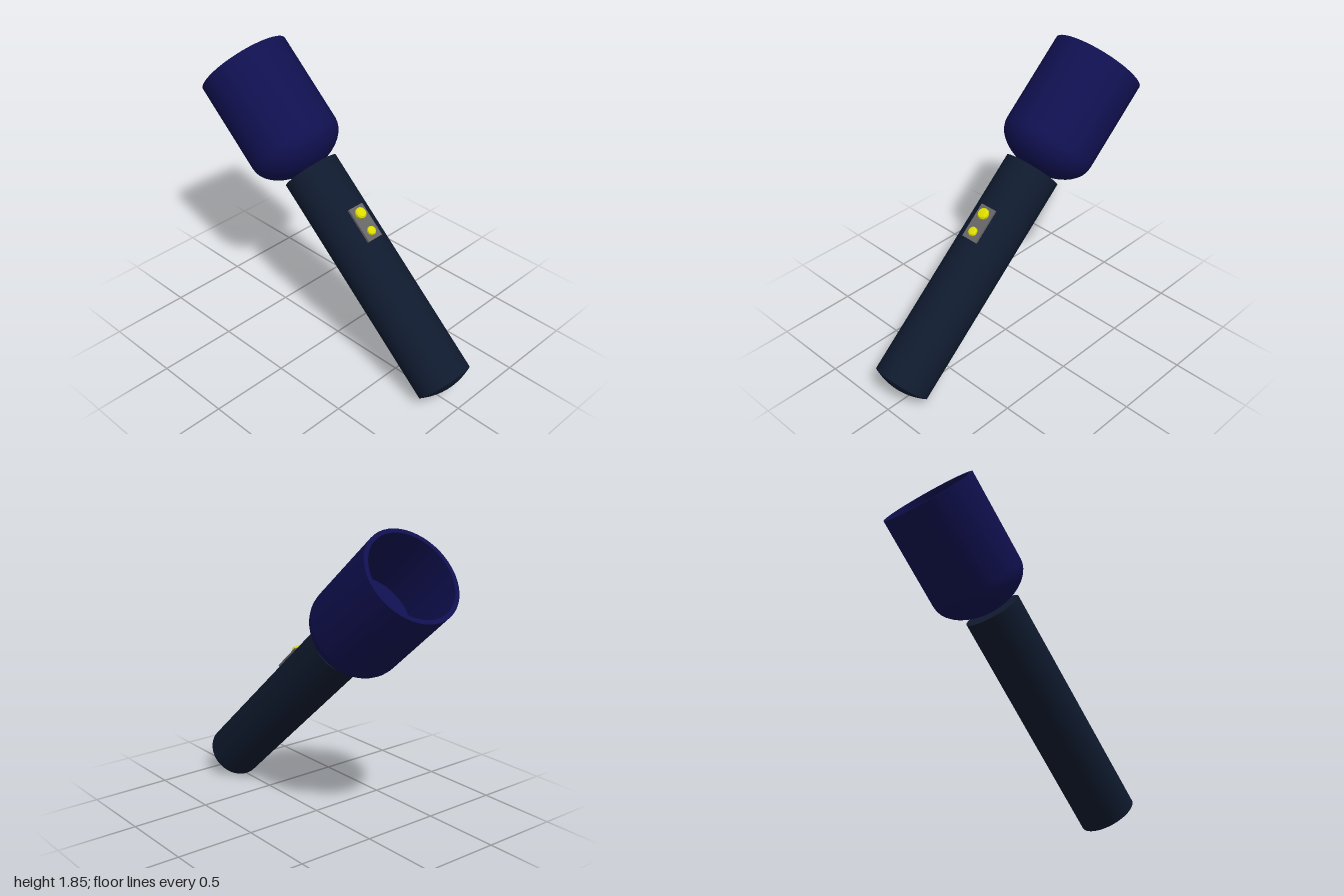
import * as THREE from 'three';
import { toCreasedNormals } from 'three/addons/utils/BufferGeometryUtils.js';

const SEGMENTS = 48;

function mesh(name, geometry, color, parent) {
  const m = new THREE.Mesh(geometry, new THREE.MeshStandardMaterial({ color }));
  m.name = name;
  parent.add(m);
  return m;
}

// Turned solid with sharp corners kept crisp
function turned(points, segments = SEGMENTS) {
  const profile = points.map(([r, y]) => new THREE.Vector2(r, y));
  return toCreasedNormals(new THREE.LatheGeometry(profile, segments), 0.5);
}

// Points of a rounded end running from the axis out to the radius
function roundedEnd(radius, yAxis, yEdge, steps, curve) {
  return Array.from({ length: steps + 1 }, (_, i) => curve(i / steps, radius, yAxis, yEdge));
}
const shallow = (t, r, y0, y1) => [r * t, y0 + (y1 - y0) * t * t];
const elliptic = (t, r, y0, y1) => {
  const a = t * Math.PI / 2;
  return [r * Math.sin(a), y1 + (y0 - y1) * Math.cos(a)];
};

export function createModel() {
  const model = new THREE.Group();
  model.name = 'flashlight';

  // Everything is built along local y, with the switch facing local +z
  const torch = new THREE.Group();
  torch.name = 'tiltedBody';
  torch.position.set(0, 0.135, 0.883);
  torch.rotation.x = -THREE.MathUtils.degToRad(48.4);
  model.add(torch);

  // Handle with a shallow domed butt and a flat top
  mesh('handle', turned([
    ...roundedEnd(0.176, -0.042, 0, 8, shallow),
    [0.176, 1.488], [0, 1.488],
  ]), 0x0f1a2e, torch);

  // Hollow head: rounded base, straight wall, rim and recessed floor
  mesh('head', turned([
    ...roundedEnd(0.293, 1.489, 1.68, 10, elliptic),
    [0.293, 2.254], [0.267, 2.254], [0.267, 1.82], [0, 1.82],
  ]), 0x101050, torch);

  // Switch plate
  const plate = mesh('switchPlate', new THREE.BoxGeometry(0.11, 0.22, 0.03), 0x666666, torch);
  plate.position.set(0, 1.04, 0.167);

  // Two round buttons with softly domed tops
  for (const [name, r, y, height] of [['upperButton', 0.035, 1.1, 0.03], ['lowerButton', 0.028, 0.98, 0.024]]) {
    const button = mesh(name, turned([
      [0, 0], [r, 0], [r, height * 0.55], [r * 0.75, height * 0.88], [0, height],
    ], 20), 0xdddd00, torch);
    button.position.set(0, y, 0.18);
    button.rotation.x = Math.PI / 2;
  }

  return model;
}
